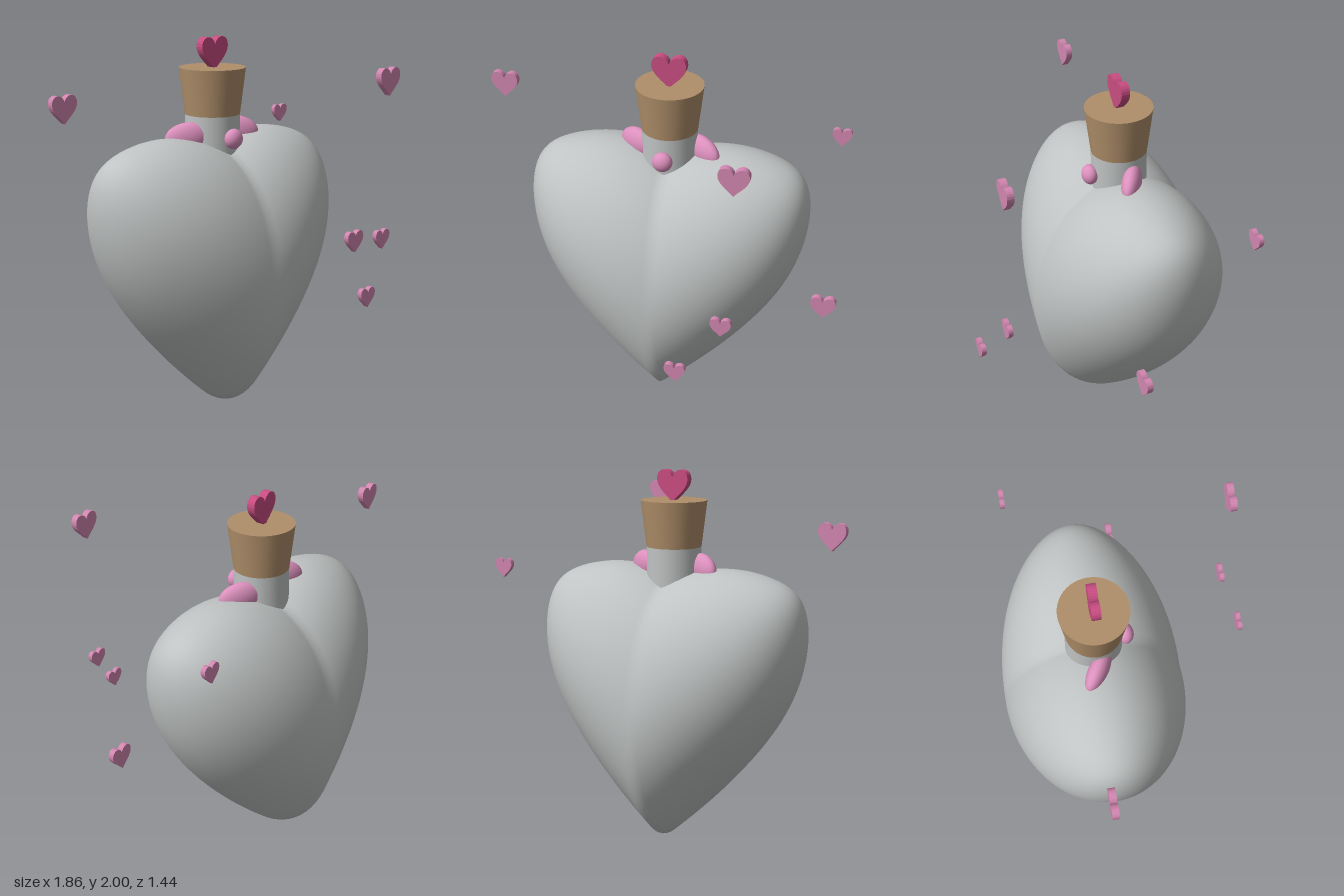
import * as THREE from 'three';
import { mergeVertices } from 'three/addons/utils/BufferGeometryUtils.js';

const mat = (name, color) => {
  const m = new THREE.MeshStandardMaterial({ color });
  m.name = name;
  return m;
};

const TURN = 0.5; // yaw shared by the bottle and the floating hearts

// Heart-shaped vessel: a sphere whose points are lifted with distance from the middle plane
function heartBody() {
  const g = new THREE.SphereGeometry(1, 72, 64);
  g.rotateZ(Math.PI / 2); // poles on the x axis, so a ring lies on the crease
  g.deleteAttribute('uv');
  g.deleteAttribute('normal');
  const R = 0.714;
  const p = g.attributes.position;
  for (let i = 0; i < p.count; i++) {
    const u = Math.abs(p.getX(i)), s = p.getY(i);
    const lower = 0.66 * u - 0.2 * u * u;
    const upper = 0.32 * u + 0.14 * u ** 6;
    const t = THREE.MathUtils.smoothstep(s, -1, 1);
    p.setXYZ(i, p.getX(i) * 0.75, R + R * s + THREE.MathUtils.lerp(lower, upper, t), p.getZ(i) * 0.497);
  }
  const merged = mergeVertices(g, 1e-4);
  merged.computeVertexNormals();
  return merged;
}

// Flat extruded heart, one unit high and centred
function heartPlate(height, depth) {
  const s = new THREE.Shape();
  s.moveTo(0, -0.5);
  s.bezierCurveTo(0.12, -0.32, 0.53, -0.08, 0.53, 0.22);
  s.bezierCurveTo(0.53, 0.58, 0.1, 0.6, 0, 0.28);
  s.bezierCurveTo(-0.1, 0.6, -0.53, 0.58, -0.53, 0.22);
  s.bezierCurveTo(-0.53, -0.08, -0.12, -0.32, 0, -0.5);
  const g = new THREE.ExtrudeGeometry(s, { depth: 1, bevelEnabled: false, curveSegments: 10 });
  g.translate(0, 0, -0.5);
  g.scale(height, height, depth);
  return g;
}

export function createModel() {
  const glass = mat('glassGrey', 0xc0c3c3);
  const cork = mat('corkBrown', 0xb08f6a);
  const ribbon = mat('ribbonPink', 0xdc90bd);
  const pink = mat('heartPink', 0xd286b0);
  const rose = mat('deepRose', 0xc94d82);

  const model = new THREE.Group();
  model.name = 'heartBottle';

  const add = (parent, name, geometry, material, x = 0, y = 0, z = 0) => {
    const m = new THREE.Mesh(geometry, material);
    m.name = name;
    m.position.set(x, y, z);
    parent.add(m);
    return m;
  };

  // Bottle with neck and stopper
  const bottle = new THREE.Group();
  bottle.name = 'bottle';
  bottle.position.set(-0.027, 0, 0.02);
  bottle.rotation.y = TURN;
  model.add(bottle);

  add(bottle, 'body', heartBody(), glass);
  add(bottle, 'neck', new THREE.CylinderGeometry(0.145, 0.145, 0.3, 48), glass, 0, 1.45, 0);
  add(bottle, 'stopper', new THREE.CylinderGeometry(0.176, 0.146, 0.245, 48), cork, 0, 1.7225, 0);
  add(bottle, 'stopperHeart', heartPlate(0.17, 0.045), rose, 0, 1.917, 0);

  // Bow around the neck: two loops and a knot
  for (const side of [1, -1]) {
    const loop = add(bottle, side > 0 ? 'bowLoopLeft' : 'bowLoopRight',
      new THREE.SphereGeometry(1, 32, 20), ribbon, side * 0.175, 1.49, side * 0.005);
    loop.scale.set(0.118, 0.08, 0.05);
    loop.rotation.set(0, -TURN - 0.1, side * -0.15);
  }
  add(bottle, 'bowKnot', new THREE.SphereGeometry(1, 28, 18), ribbon, 0, 1.485, 0.164)
    .scale.set(0.053, 0.053, 0.042);

  // Floating hearts: x, y, z, height
  const floating = [
    [-0.86, 1.71, 0.4, 0.138],
    [0.775, 1.8, 0.465, 0.14],
    [0.56, 1.47, -0.69, 0.1],
    [0.75, 0.99, 0.505, 0.1],
    [0.865, 0.785, -0.185, 0.125],
    [0.61, 0.74, 0.68, 0.1],
  ];
  for (const [x, y, z, h] of floating) {
    add(model, 'floatingHeart', heartPlate(h, h * 0.25), pink, x, y, z).rotation.y = TURN;
  }

  return model;
}
